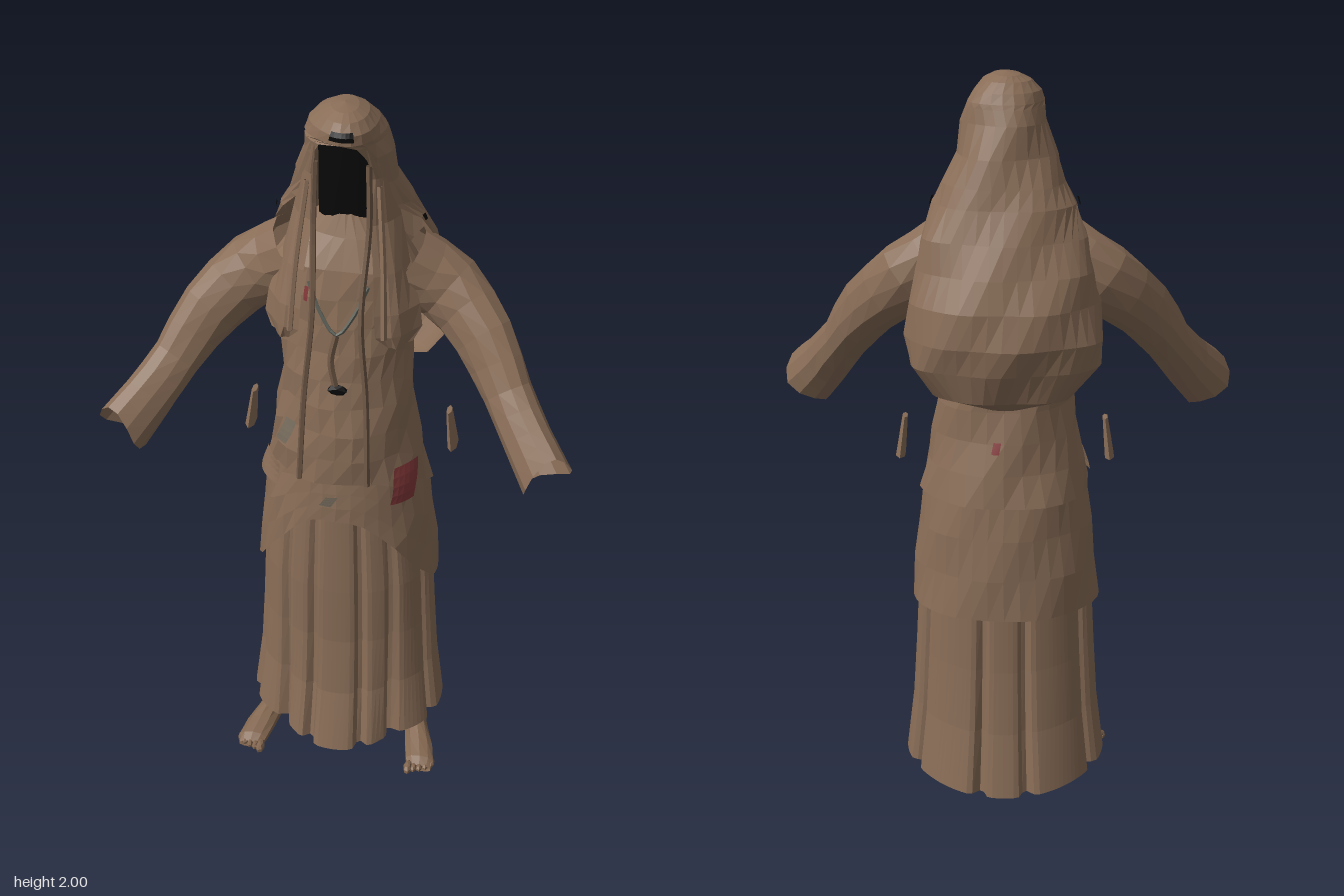
import * as THREE from 'three';

const mat = (name, color) => {
  const m = new THREE.MeshStandardMaterial({ color, side: THREE.DoubleSide });
  m.name = name;
  return m;
};

// interpolate rows of [y, ...values], listed from top to bottom
function rowAt(keys, y) {
  let i = 0;
  while (i < keys.length - 2 && y < keys[i + 1][0]) i++;
  const a = keys[i], b = keys[i + 1];
  const t = THREE.MathUtils.clamp((a[0] - y) / (a[0] - b[0]), 0, 1);
  return a.map((v, k) => v + (b[k] - v) * t);
}

function facet(g) {
  const f = g.index ? g.toNonIndexed() : g;
  f.computeVertexNormals();
  return f;
}

// faceted sheet from fn(u, v); v runs down, u runs towards +x at the front
function sheet(nu, nv, fn, rough = 0) {
  const pos = [], idx = [];
  for (let j = 0; j <= nv; j++) for (let i = 0; i <= nu; i++) {
    const [x, y, z] = fn(i / nu, j / nv);
    pos.push(x + rough * Math.sin(31 * y + 27 * z), y, z + rough * Math.sin(29 * x + 23 * y));
  }
  for (let j = 0; j < nv; j++) for (let i = 0; i < nu; i++) {
    const a = j * (nu + 1) + i, b = a + 1, c = a + nu + 1, d = c + 1;
    idx.push(a, c, b, b, c, d);
  }
  const g = new THREE.BufferGeometry();
  g.setAttribute('position', new THREE.Float32BufferAttribute(pos, 3));
  g.setIndex(idx);
  return facet(g);
}

// copy across x = 0 with the corner order restored
function mirror(g) {
  const m = g.clone(), p = m.attributes.position;
  for (let i = 0; i < p.count; i += 3) {
    const t = [0, 1, 2].map(k => [-p.getX(i + k), p.getY(i + k), p.getZ(i + k)]);
    p.setXYZ(i, ...t[0]); p.setXYZ(i + 1, ...t[2]); p.setXYZ(i + 2, ...t[1]);
  }
  m.computeVertexNormals();
  return m;
}

// point on an oval body whose rows are [y, halfWidth, frontZ, backZ]
function oval(keys, a, y, out = 0, k = 1) {
  const [, rx, zf, zb] = rowAt(keys, y);
  const c = (zf + zb) / 2, h = (zf - zb) / 2;
  return [(rx + out) * k * Math.sin(a), y, c + (h + out) * k * Math.cos(a)];
}

const TORSO = [[1.72, .04, .02, -.06], [1.67, .08, .04, -.09], [1.63, .15, .07, -.11], [1.57, .19, .1, -.12],
  [1.5, .19, .115, -.13], [1.4, .172, .13, -.13], [1.25, .17, .155, -.13], [1.1, .187, .185, -.15],
  [1, .205, .19, -.17], [.88, .23, .185, -.2]];
const OVERSKIRT = [[1.02, .19, .16, -.16], [.9, .222, .173, -.188], [.75, .24, .183, -.21], [.57, .256, .18, -.227]];
const SKIRT = [[.95, .2, .15, -.16], [.6, .238, .165, -.2], [.35, .25, .17, -.218], [.2, .262, .195, -.24], [.07, .282, .235, -.268]];
// rows of [y, halfWidth, frontZ, middleZ, backZ, opening angle]
const HOOD = [[2, 0, .02, .02, .02, 0], [1.993, .035, .07, .02, -.035, 0], [1.98, .062, .1, .02, -.055, 0],
  [1.955, .086, .12, .02, -.075, 0], [1.93, .098, .122, .01, -.086, 0], [1.917, .1, .118, .005, -.09, .5],
  [1.88, .11, .102, 0, -.103, .66], [1.8, .13, .065, -.01, -.13, .62], [1.73, .158, .055, -.03, -.155, .9],
  [1.68, .185, .04, -.05, -.172, 1.25], [1.6, .212, 0, -.08, -.205, 1.5], [1.52, .23, -.06, -.1, -.24, 1.57],
  [1.44, .245, -.1, -.12, -.275, 1.57], [1.35, .256, -.12, -.13, -.29, 1.57], [1.28, .245, -.14, -.145, -.275, 1.57],
  [1.2, .18, -.165, -.165, -.25, 1.57], [1.165, .04, -.18, -.18, -.2, 1.57]];

function hoodPoint(a, y, out = 0) {
  const [, rx, zf, zc, zb] = rowAt(HOOD, y);
  const c = Math.cos(a);
  return [(rx + out) * Math.sin(a), y, zc + c * (c > 0 ? zf - zc + out : zc - zb + out)];
}

export function createModel() {
  const robe = mat('brown cloth', 0x896d57), skin = mat('skin', 0x82664f), cord = mat('brown cord', 0x6f5846);
  const black = mat('black shadow', 0x080808), red = mat('red patch', 0x85393a);
  const grey = mat('grey green trim', 0x5f645b), faded = mat('faded patch', 0x74695a);
  const group = new THREE.Group();
  const add = (name, g, m) => {
    const mesh = new THREE.Mesh(g, m);
    mesh.name = name;
    group.add(mesh);
  };
  const pair = (name, g, m) => { add(name + 'Left', g, m); add(name + 'Right', mirror(g), m); };
  const turn = u => (u - .5) * 2 * Math.PI;
  const { lerp, smoothstep: smooth } = THREE.MathUtils;

  // jacket, with a lower hem at the back
  add('jacket', sheet(26, 10, (u, v) => {
    const a = turn(u), hem = .98 - .09 * smooth(Math.abs(a), .9, 1.7);
    return oval(TORSO, a, lerp(1.72, hem, v));
  }, .005), robe);

  // overskirt, arched open at the front
  add('overskirt', sheet(36, 4, (u, v) => {
    const a = turn(u), hem = .85 - .27 * smooth(Math.abs(a), .15, 1.5);
    return oval(OVERSKIRT, a, lerp(1.02, hem, v));
  }, .003), robe);

  // long skirt of broad panels parted by narrow folds, the middle front panel swinging forward
  const folds = [.29, .7, 1.25, 2.05, 2.9];
  add('skirt', sheet(120, 5, (u, v) => {
    const a = turn(u), b = Math.abs(a), hem = .085 - .018 * Math.cos(2 * a);
    const depth = folds.reduce((s, f) => s + Math.exp(-(((b - f) / .055) ** 2)), 0);
    const inset = .1 * v ** 3 * Math.exp(-(((b - .65) / .3) ** 2));
    return oval(SKIRT, a, lerp(.95, hem, v), 0, 1 - inset - (.06 + .08 * v) * depth);
  }), robe);

  // hood with a long hanging bag down the back
  const last = HOOD.length - 1;
  add('hood', sheet(20, last, (u, v) => {
    const [y, , , , , a0] = HOOD[Math.round(v * last)];
    return hoodPoint(lerp(-2 * Math.PI + a0, -a0, u), y);
  }, .006), robe);
  const face = new THREE.CylinderGeometry(.075, .075, .235, 14);
  face.scale(1, 1, .5);
  face.translate(0, 1.803, -.004);
  add('faceShadow', facet(face), black);
  add('hoodMark', sheet(6, 2, (u, v) => hoodPoint(lerp(-.27, .37, u), lerp(1.965, 1.943, v), .007), .006), black);
  pair('shoulderMark', sheet(3, 1, (u, v) => hoodPoint(lerp(1.3, 1.45, u), lerp(1.69, 1.67, v), .005), .006), black);

  // cloth falling from the hood over the chest: rows of [y, innerX, outerX, innerZ, outerZ]
  const LAPEL = [[1.91, .064, .085, .09, .05], [1.82, .07, .11, .065, .015], [1.7, .075, .135, .08, .01],
    [1.58, .085, .165, .115, .03], [1.48, .095, .195, .142, .055], [1.42, .1, .2, .15, .06], [1.385, .125, .18, .135, .08]];
  pair('lapel', sheet(5, LAPEL.length - 1, (u, v) => {
    const [y, xi, xo, zi, zo] = LAPEL[Math.round(v * 6)];
    return [lerp(xi, xo, u), y, lerp(zi, zo, u * u) + .008 * Math.sin(u * 9 + v * 4) * v];
  }, .003), robe);

  // sleeves: rows of [x, y, z, tall radius, wide radius]
  const arm = [[.14, 1.55, -.03, .1, .09], [.25, 1.48, -.04, .095, .085], [.355, 1.385, .02, .082, .075],
    [.435, 1.27, .095, .068, .062], [.495, 1.185, .165, .078, .06], [.54, 1.13, .215, .086, .064]];
  const path = new THREE.CatmullRomCurve3(arm.map(r => new THREE.Vector3(r[0], r[1], r[2])));
  pair('sleeve', sheet(12, 10, (u, v) => {
    const p = path.getPoint(v), t = path.getTangent(v);
    const i = Math.min(Math.floor(v * 5), 4), f = v * 5 - i;
    const ry = lerp(arm[i][3], arm[i + 1][3], f), rz = lerp(arm[i][4], arm[i + 1][4], f);
    const up = new THREE.Vector3(0, 1, 0).addScaledVector(t, -t.y).normalize();
    const side = new THREE.Vector3().crossVectors(t, up);
    const a = -u * 2 * Math.PI;
    // the cuff runs out in two pointed corners
    const point = smooth(v, .8, 1) * (.018 - .02 * Math.cos(2 * a + .5));
    p.addScaledVector(up, ry * Math.cos(a)).addScaledVector(side, -rz * Math.sin(a)).addScaledVector(t, point);
    return [p.x, p.y, p.z];
  }, .004), robe);

  // hanging cords and necklace
  const tube = (pts, r, n = 16) => facet(new THREE.TubeGeometry(
    new THREE.CatmullRomCurve3(pts.map(p => new THREE.Vector3(...p))), n, r, 5));
  pair('longCord', tube([[.066, 1.86, .075], [.07, 1.7, .085], [.062, 1.47, .15], [.08, 1.25, .172], [.09, 1, .2]], .008), cord);
  pair('outerCord', tube([[.09, 1.8, .06], [.11, 1.6, .11], [.12, 1.42, .148]], .008), robe);
  add('necklace', tube([[-.075, 1.55, .12], [-.04, 1.47, .14], [0, 1.42, .15], [.04, 1.47, .14], [.075, 1.55, .12]], .005), grey);
  add('pendantCord', tube([[0, 1.42, .15], [-.012, 1.35, .16], [0, 1.28, .165]], .009, 8), cord);
  const knot = new THREE.IcosahedronGeometry(.016);
  knot.scale(1.8, 1, .8);
  knot.translate(.006, 1.268, .168);
  add('pendant', facet(knot), black);

  // sewn patches following the jacket
  const patch = (name, a0, a1, y0, y1, skew, m) => add(name, sheet(5, 4, (u, v) =>
    oval(TORSO, lerp(a0, a1, u) + skew * (.5 - v), lerp(y1, y0, v), .008), .005), m);
  patch('redHipPatch', .74, 1.14, .91, 1.02, .18, red);
  patch('redBackPatch', 3.0, 3.1, 1.035, 1.065, 0, red);
  patch('redChestPatch', -.46, -.4, 1.49, 1.53, 0, red);
  patch('fadedWaistPatch', -.9, -.68, 1.07, 1.14, .1, faded);
  patch('fadedFrontPatch', -.14, 0, .915, .945, .1, faded);
  patch('chestStitch', -1.15, -.85, 1.395, 1.408, 0, grey);
  patch('pocketFlap', -1.35, -.85, .915, .985, 0, robe);

  // loose flaps beside the hips
  const flap = new THREE.CylinderGeometry(.022, .04, .11, 6);
  flap.scale(.35, 1, 1);
  flap.rotateZ(.12);
  flap.translate(.272, 1.045, -.045);
  pair('hipFlap', facet(flap), robe);

  // bare legs and feet: rows of [x, z, half width, height]
  const leg = new THREE.CylinderGeometry(.045, .03, .32, 9);
  leg.translate(.2, .22, -.015);
  pair('leg', facet(leg), skin);
  const foot = [[.193, -.052, .008, .03], [.197, -.035, .028, .07], [.203, 0, .032, .095], [.215, .06, .034, .08],
    [.235, .13, .042, .058], [.247, .185, .042, .042], [.25, .208, .034, .026]];
  pair('foot', sheet(10, 6, (u, v) => {
    const [x, z, w, h] = foot[Math.round(v * 6)], a = u * 2 * Math.PI;
    return [x - w * Math.sin(a), Math.max(.004, h * (.5 + .5 * Math.cos(a))), z];
  }), skin);
  for (let i = 0; i < 5; i++) {
    const toe = new THREE.SphereGeometry(i ? .009 : .013, 7, 5);
    toe.scale(1, 1.2, 2);
    toe.translate(.218 + i * .016, .018, .213 - i * i * .0018);
    pair('toe' + (i + 1), facet(toe), skin);
  }
  return group;
}
